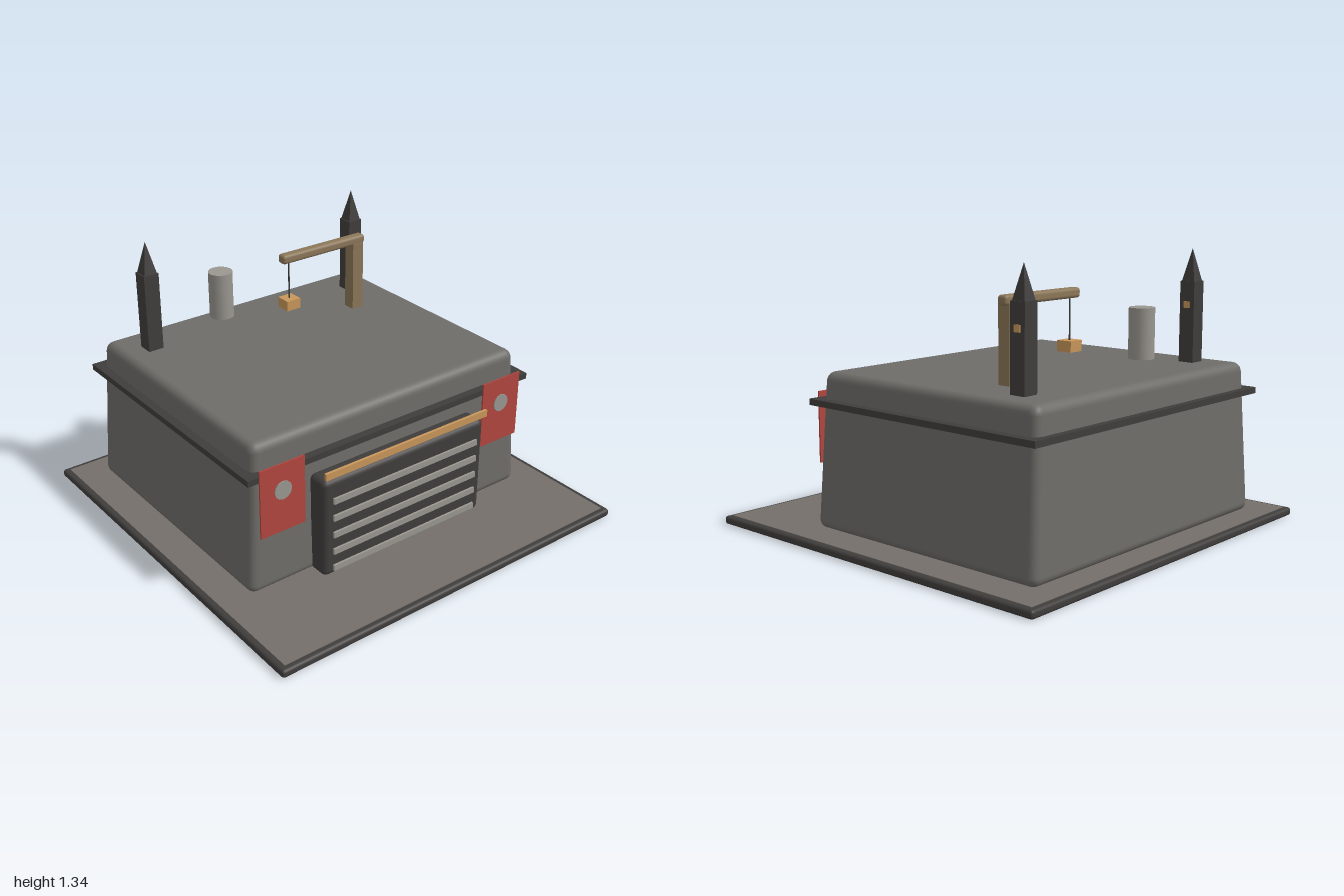
import * as THREE from 'three';
import { RoundedBoxGeometry } from 'three/addons/geometries/RoundedBoxGeometry.js';
import { mergeVertices } from 'three/addons/utils/BufferGeometryUtils.js';

const mat = (name, color) => {
  const m = new THREE.MeshStandardMaterial({ color });
  m.name = name;
  return m;
};

export function createModel() {
  const stone = mat('grey stone', 0x6f6d69);
  const paving = mat('paving', 0x746f6a);
  const dark = mat('dark iron', 0x403e3d);
  const steel = mat('pale steel', 0x9a9790);
  const gold = mat('brass', 0xc8965a);
  const wood = mat('timber', 0x8c7759);
  const red = mat('red cloth', 0xb2463f);

  const model = new THREE.Group();
  model.name = 'fortifiedWorkshop';
  const add = (name, geometry, material, x, y, z, parent = model) => {
    const mesh = new THREE.Mesh(geometry, material);
    mesh.name = name;
    mesh.position.set(x, y, z);
    parent.add(mesh);
    return mesh;
  };
  const box = (w, h, d) => new THREE.BoxGeometry(w, h, d);
  const rounded = (w, h, d, r) => new RoundedBoxGeometry(w, h, d, 3, r);

  // Ground slab with an inset paved top
  add('baseSlab', rounded(2, 0.04, 2, 0.015), dark, 0, 0.02, 0);
  add('basePaving', box(1.94, 0.006, 1.94), paving, 0, 0.04, 0);

  // Hall: rounded block narrowing towards the roof
  const height = 0.75;
  let hall = rounded(1.65, height, 1.37, 0.045);
  const p = hall.attributes.position;
  for (let i = 0; i < p.count; i++) {
    const t = p.getY(i) / height + 0.5;
    p.setX(i, p.getX(i) * (1 - 0.055 * t));
    p.setZ(i, p.getZ(i) * (1 - 0.045 * t));
  }
  hall.deleteAttribute('normal');
  hall.deleteAttribute('uv');
  hall = mergeVertices(hall);
  hall.computeVertexNormals();
  add('hall', hall, stone, 0, 0.04 + height / 2, -0.175);
  add('cornice', box(1.665, 0.03, 1.393), dark, 0, 0.647, -0.172);

  // Shutter door with slats and a brass lintel
  add('door', rounded(0.965, 0.51, 0.12, 0.03), dark, 0, 0.298, 0.538);
  for (let i = 0; i < 5; i++) {
    add('doorSlat', box(0.865, 0.03, 0.014), steel, 0, 0.085 + i * 0.09, 0.602);
  }
  add('doorLintel', box(0.965, 0.035, 0.014), gold, 0, 0.592, 0.608);

  // Mirrored banners and towers
  for (const side of [-1, 1]) {
    add('banner', box(0.24, 0.345, 0.008), red, side * 0.655, 0.517, 0.526);
    const disc = new THREE.CylinderGeometry(0.046, 0.046, 0.006, 12).rotateX(Math.PI / 2);
    add('bannerDisc', disc, steel, side * 0.655, 0.557, 0.532);

    const tower = new THREE.Group();
    tower.name = 'tower';
    tower.position.set(side * 0.62, 0, -0.622);
    model.add(tower);
    add('towerShaft', box(0.08, 0.4, 0.08), dark, 0, 0.985, 0, tower);
    const spire = new THREE.ConeGeometry(0.05, 0.16, 4).rotateY(Math.PI / 4).toNonIndexed();
    spire.computeVertexNormals();
    add('towerSpire', spire, dark, 0, 1.262, 0, tower);
    // Both windows look towards +x
    add('towerWindow', box(0.008, 0.032, 0.032), gold, 0.041, 1.072, 0, tower);
  }

  // Vent drum
  add('ventDrum', new THREE.CylinderGeometry(0.062, 0.062, 0.24, 16), steel, -0.21, 0.97, -0.622);

  // Roof crane with a hanging crate
  const crane = new THREE.Group();
  crane.name = 'crane';
  crane.position.z = -0.415;
  model.add(crane);
  add('cranePost', box(0.065, 0.37, 0.065), wood, 0.482, 0.965, 0, crane);
  add('craneBeam', rounded(0.515, 0.048, 0.054, 0.016), wood, 0.274, 1.163, 0, crane);
  add('craneRope', new THREE.CylinderGeometry(0.004, 0.004, 0.21, 6), dark, 0.065, 1.045, 0, crane);
  add('craneCrate', box(0.08, 0.052, 0.08), gold, 0.065, 0.92, 0, crane);

  return model;
}
